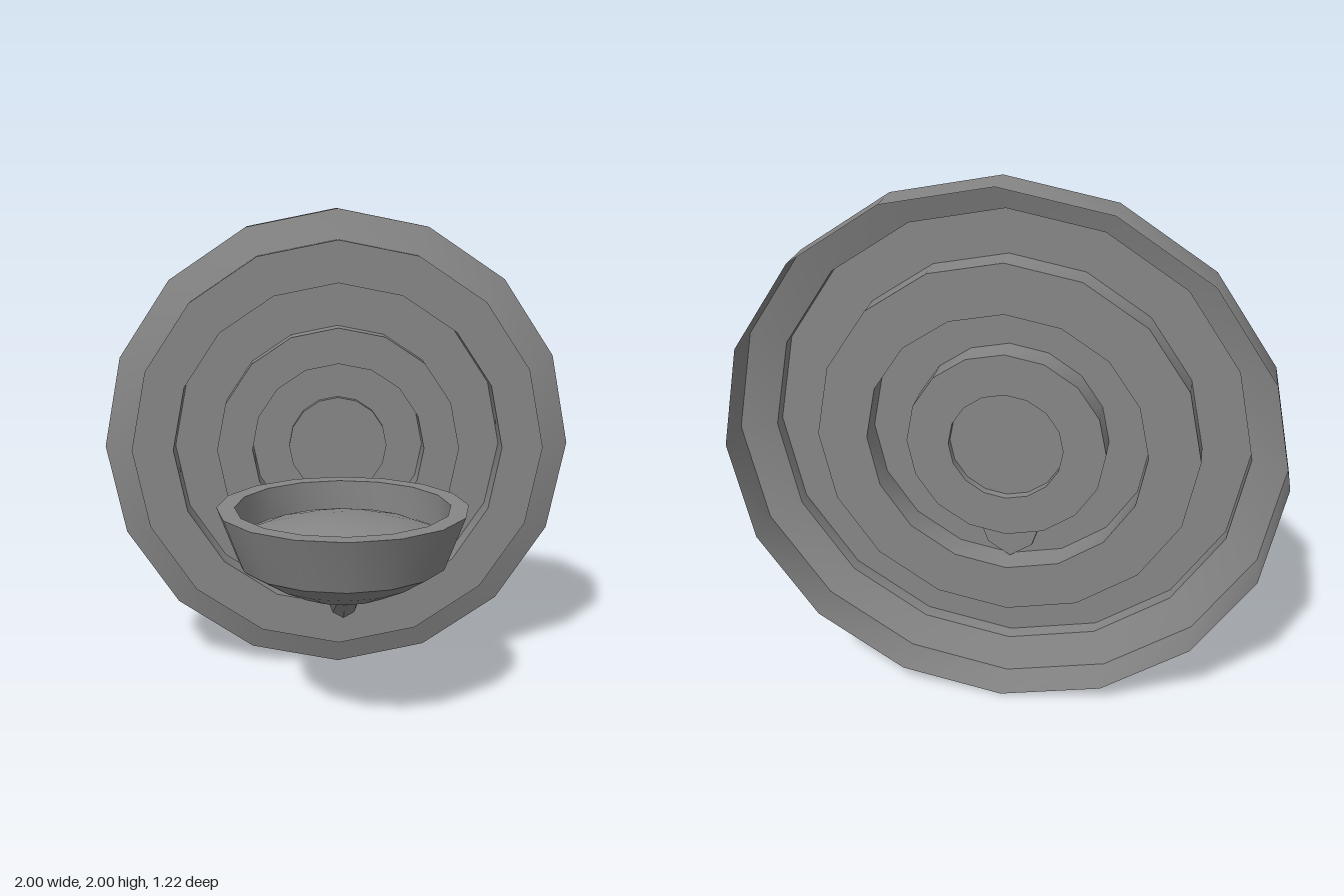
import * as THREE from 'three';
import { toCreasedNormals } from 'three/addons/utils/BufferGeometryUtils.js';

const SIDES = 16;
const darkGrey = () => new THREE.MeshStandardMaterial({ color: 0x868686, side: THREE.DoubleSide });

function mesh(name, geometry) {
  const m = new THREE.Mesh(toCreasedNormals(geometry, 0.5), darkGrey());
  m.name = name;
  return m;
}

function lathe(points) {
  return new THREE.LatheGeometry(points.map(([r, y]) => new THREE.Vector2(r, y)), SIDES);
}

// Skin a row of closed cross-sections and cap both ends
function loft(sections) {
  const n = sections[0].length;
  const index = [];
  for (let s = 0; s < sections.length - 1; s++) {
    for (let i = 0; i < n; i++) {
      const a = s * n + i, b = s * n + (i + 1) % n;
      index.push(a, b, b + n, a, b + n, a + n);
    }
  }
  const last = (sections.length - 1) * n;
  for (let i = 1; i < n - 1; i++) {
    index.push(0, i + 1, i, last, last + i, last + i + 1);
  }
  const g = new THREE.BufferGeometry();
  g.setAttribute('position', new THREE.Float32BufferAttribute(sections.flat(2), 3));
  g.setIndex(index);
  return g;
}

export function createModel() {
  const model = new THREE.Group();

  // Pressed wall disc: one thin sheet stepping between raised and sunken rings
  const front = -0.365, sunk = -0.47, centre = -0.44;
  const disc = lathe([
    [1, -0.613], [1, -0.465], [0.875, -0.42], [0.875, front],
    [0.7, front], [0.7, sunk], [0.515, sunk], [0.515, front],
    [0.365, front], [0.365, sunk], [0.21, sunk], [0.21, centre], [0, centre],
  ]);
  disc.rotateX(Math.PI / 2);
  disc.translate(0, 1, 0);
  model.add(mesh('wallDisc', disc));

  // Bowl: flared rim over a rounded underside, with a low dome set inside the rim
  const bowl = mesh('bowl', lathe([
    [0, 0.51], [0.1, 0.517], [0.2, 0.545], [0.31, 0.6], [0.41, 0.665],
    [0.49, 0.878], [0.42, 0.878],
    [0.42, 0.745], [0.32, 0.785], [0.21, 0.813], [0.1, 0.829], [0, 0.834],
  ]));
  bowl.position.z = 0.12;
  model.add(bowl);

  // Curved bracket, keeled underneath and flared at the wall: [z, keel y, top y, half width]
  const stations = [
    [-0.39, 0.49, 0.71, 0.14],
    [-0.36, 0.48, 0.7, 0.14],
    [-0.2, 0.435, 0.62, 0.09],
    [-0.05, 0.4, 0.56, 0.075],
    [0.16, 0.435, 0.53, 0.07],
    [0.31, 0.54, 0.57, 0.05],
  ];
  const sections = stations.map(([z, low, high, w]) => {
    const mid = low + (high - low) * 0.25;
    return [[0, low, z], [w * 0.6, mid, z], [w, high, z], [-w, high, z], [-w * 0.6, mid, z]];
  });
  model.add(mesh('bracketArm', loft(sections)));

  return model;
}
